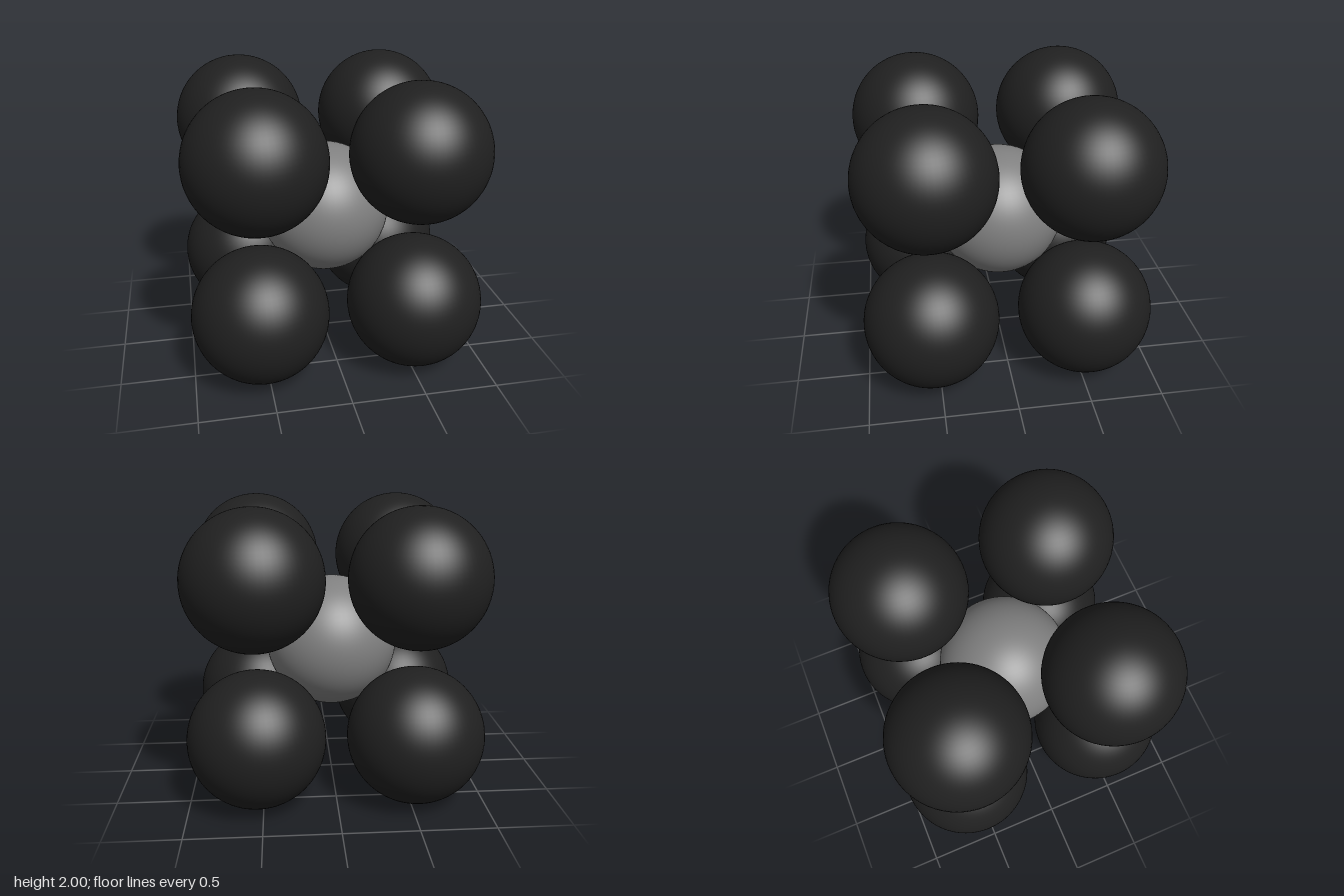
import * as THREE from 'three';

export function createModel() {
  const model = new THREE.Group();
  model.name = 'sphereCluster';

  const grey = new THREE.MeshStandardMaterial({ color: 0x808080 });
  grey.name = 'mid grey';
  const black = new THREE.MeshStandardMaterial({ color: 0x202020 });
  black.name = 'charcoal';

  // Equal spheres: each corner sphere touches the central one along a cube diagonal
  const radius = 1 / (1 + 2 / Math.sqrt(3));
  const offset = 1 - radius;
  const ball = new THREE.SphereGeometry(radius, 64, 40);

  const addBall = (name, material, x, y, z) => {
    const mesh = new THREE.Mesh(ball, material);
    mesh.name = name;
    mesh.position.set(x, y, z);
    model.add(mesh);
  };

  // Central sphere
  addBall('centreSphere', grey, 0, 1, 0);

  // Eight spheres at the corners of a cube
  for (const [xName, x] of [['Left', 1], ['Right', -1]]) {
    for (const [yName, y] of [['upper', 1], ['lower', -1]]) {
      for (const [zName, z] of [['Front', 1], ['Back', -1]]) {
        addBall(`${yName}${zName}${xName}Sphere`, black, x * offset, 1 + y * offset, z * offset);
      }
    }
  }

  return model;
}
